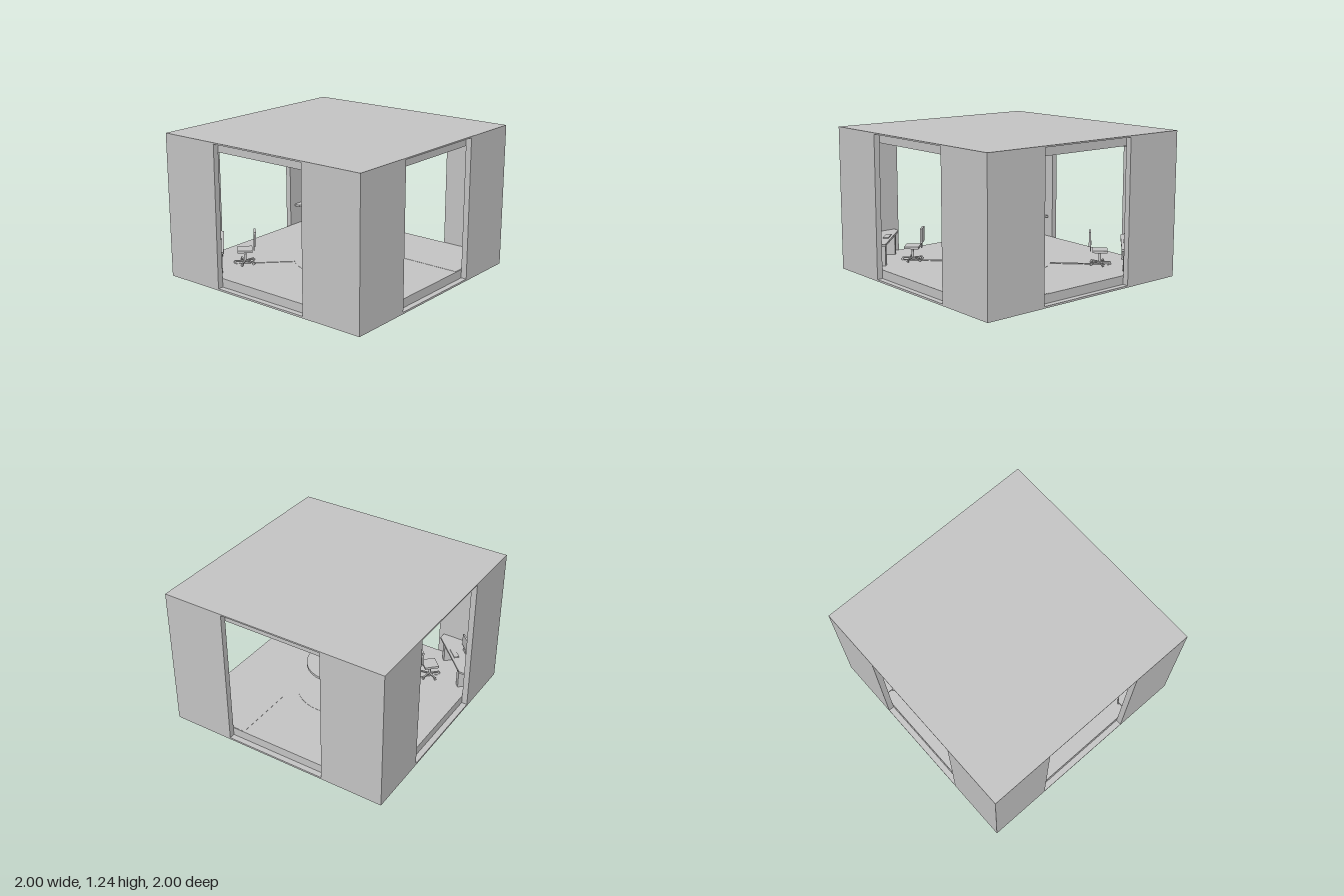
import * as THREE from 'three';

const grey = new THREE.MeshStandardMaterial({ color: 0xc4c4c4 });
grey.name = 'light grey';

const FLOOR = 0.09, CEILING = 1.15, HEIGHT = 1.236;

function add(parent, name, geometry, x = 0, y = 0, z = 0) {
  const mesh = new THREE.Mesh(geometry, grey);
  mesh.name = name;
  mesh.position.set(x, y, z);
  parent.add(mesh);
  return mesh;
}

const box = (w, h, d) => new THREE.BoxGeometry(w, h, d);
const disc = (top, bottom, h, sides = 32) => new THREE.CylinderGeometry(top, bottom, h, sides);

// Plan outline (x, z) extruded downward from y = 0
function slab(points, depth) {
  const shape = new THREE.Shape(points.map(([x, z]) => new THREE.Vector2(x, z)));
  return new THREE.ExtrudeGeometry(shape, { depth, bevelEnabled: false }).rotateX(Math.PI / 2);
}

function group(parent, name) {
  const g = new THREE.Group();
  g.name = name;
  parent.add(g);
  return g;
}

// Shell: base, floor, roof and four L-shaped corner walls
function buildRoom(parent) {
  const room = group(parent, 'room');
  add(room, 'base', box(2, 0.016, 2), 0, 0.008, 0);
  add(room, 'floor', box(1.9, FLOOR - 0.016, 1.9), 0, (FLOOR + 0.016) / 2, 0);
  add(room, 'roof', box(2, 0.012, 2), 0, HEIGHT - 0.006, 0);
  add(room, 'ceiling', box(1.9, 0.074, 1.9), 0, CEILING + 0.037, 0);
  const corner = [[0.452, 1], [0.452, 0.95], [0.95, 0.95], [0.95, 0.452], [1, 0.452], [1, 1]];
  for (let i = 0; i < 4; i++) {
    const wall = add(room, 'cornerWall', slab(corner, 1.208), 0, 1.224, 0);
    wall.rotation.y = i * Math.PI / 2;
  }
}

// Round pedestal table on a thin floor disc
function buildTable(parent) {
  const table = group(parent, 'table');
  add(table, 'floorDisc', disc(0.38, 0.38, 0.002, 48), 0, FLOOR + 0.001, 0);
  add(table, 'tableFoot', disc(0.125, 0.14, 0.018), 0, FLOOR + 0.01, 0);
  add(table, 'tableStem', disc(0.122, 0.085, 0.222), 0, 0.218, 0);
  add(table, 'tableLip', disc(0.285, 0.27, 0.018, 48), 0, 0.336, 0);
  add(table, 'tableTop', disc(0.295, 0.295, 0.022, 48), 0, 0.354, 0);
}

// Stepped ceiling ring around a shallow recess, and corner downlights
function buildCeilingLights(parent) {
  const lights = group(parent, 'ceilingLights');
  const profile = [[0, 1.145], [0.37, 1.145], [0.37, 1.122], [0.41, 1.122], [0.44, 1.132],
    [0.52, 1.132], [0.53, 1.137], [0.53, CEILING]].map(([r, y]) => new THREE.Vector2(r, y));
  const ring = new THREE.LatheGeometry(profile, 48).toNonIndexed();
  ring.computeVertexNormals();
  add(lights, 'ceilingRing', ring);
  for (const sx of [-1, 1]) for (const sz of [-1, 1])
    for (const [x, z] of [[0.81, 0.56], [0.7, 0.7], [0.56, 0.81]])
      add(lights, 'downlight', disc(0.06, 0.045, 0.025, 20), sx * x, CEILING - 0.0125, sz * z);
}

// Swivel chair facing local +z
function buildChair(parent) {
  const chair = group(parent, 'chair');
  chair.position.set(0, FLOOR, 0.8);
  for (let i = 0; i < 5; i++) {
    const spoke = group(chair, 'chairSpoke');
    spoke.rotation.y = i * Math.PI * 2 / 5;
    add(spoke, 'chairLeg', box(0.014, 0.01, 0.09), 0, 0.022, 0.045);
    add(spoke, 'caster', disc(0.01, 0.01, 0.014, 10).rotateZ(Math.PI / 2), 0, 0.01, 0.088);
  }
  add(chair, 'chairPost', disc(0.009, 0.012, 0.095, 12), 0, 0.065, 0);
  add(chair, 'chairSeat', box(0.13, 0.02, 0.125), 0, 0.12, 0);
  add(chair, 'backSupport', box(0.02, 0.09, 0.01), 0, 0.155, -0.078);
  add(chair, 'chairBack', box(0.115, 0.125, 0.018), 0, 0.225, -0.085);
}

// Corner desk with panels, screen and keyboard; local +z points into the corner
function buildWorkstation(parent, sx, sz) {
  const station = group(parent, 'workstation');
  station.rotation.y = Math.atan2(sx, sz);
  const top = [[-0.27, 0.976], [0.27, 0.976], [0.31, 1.02], [0, 1.33], [-0.31, 1.02]];
  add(station, 'deskTop', slab(top, 0.018), 0, 0.29, 0);
  for (const s of [-1, 1])
    add(station, 'deskPanel', box(0.05, 0.182, 0.1), s * 0.2, FLOOR + 0.091, 1.04);
  add(station, 'keyboard', box(0.13, 0.008, 0.045), 0, 0.294, 1.02);
  add(station, 'screenFoot', box(0.06, 0.03, 0.04), 0, 0.305, 1.13);
  add(station, 'screen', box(0.17, 0.11, 0.015), 0, 0.37, 1.125);
  add(station, 'floorDuct', box(0.03, 0.004, 0.5), 0, FLOOR + 0.002, 0.63);
  buildChair(station);
}

export function createModel() {
  const model = new THREE.Group();
  model.name = 'roomModule';
  buildRoom(model);
  buildTable(model);
  buildCeilingLights(model);
  for (const [sx, sz] of [[-1, 1], [-1, -1], [1, 1]]) buildWorkstation(model, sx, sz);
  // Flush floor hatch in the free corner
  add(model, 'floorHatch', box(0.6, 0.002, 0.57), 0.645, FLOOR + 0.001, -0.66);
  return model;
}
